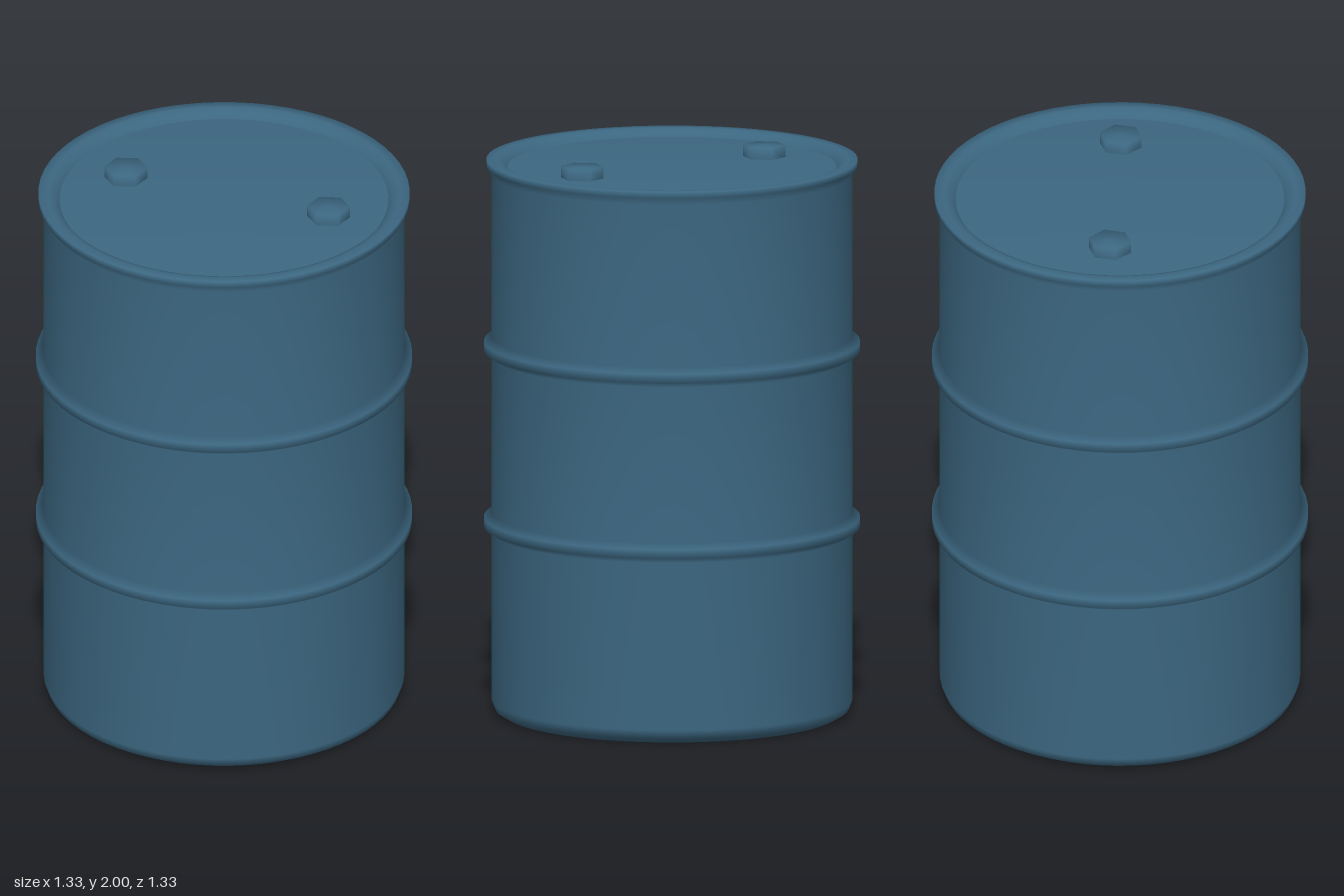
import * as THREE from 'three';

const paint = new THREE.MeshStandardMaterial({ color: 0x3c6781 });
paint.name = 'blue paint';

// Smooth surface of revolution; profile points are [radius, height], bottom to top.
function turned(name, points, sides, phiStart = 0) {
  const profile = points.map(([r, y]) => new THREE.Vector2(r, y));
  const mesh = new THREE.Mesh(new THREE.LatheGeometry(profile, sides, phiStart), paint);
  mesh.name = name;
  return mesh;
}

// Profile of a rolling hoop pressed out of the wall.
const hoop = (y) => [[0.637, y - 0.035], [0.664, y - 0.016], [0.664, y + 0.016], [0.637, y + 0.035]];

export function createModel() {
  const drum = new THREE.Group();
  drum.name = 'drum';

  // Wall with rounded base, two hoops and a rolled top rim
  drum.add(turned('body', [
    [0, 0], [0.595, 0], [0.625, 0.018], [0.637, 0.05],
    ...hoop(0.687), ...hoop(1.317),
    [0.637, 1.935], [0.655, 1.962], [0.655, 1.985],
    [0.62, 1.985], [0.595, 1.975], [0.58, 1.955],
  ], 64));

  // Inset lid with a short hidden skirt
  const lidY = 1.958;
  drum.add(turned('lid', [[0.58, lidY - 0.05], [0.58, lidY], [0, lidY]], 64));

  // Hexagonal bungs
  for (const [x, z] of [[-0.355, -0.135], [0.376, 0.107]]) {
    const bung = turned('bung', [[0.076, lidY - 0.01], [0.076, 2], [0, 2]], 6, Math.PI / 2);
    bung.position.set(x, 0, z);
    drum.add(bung);
  }
  return drum;
}
